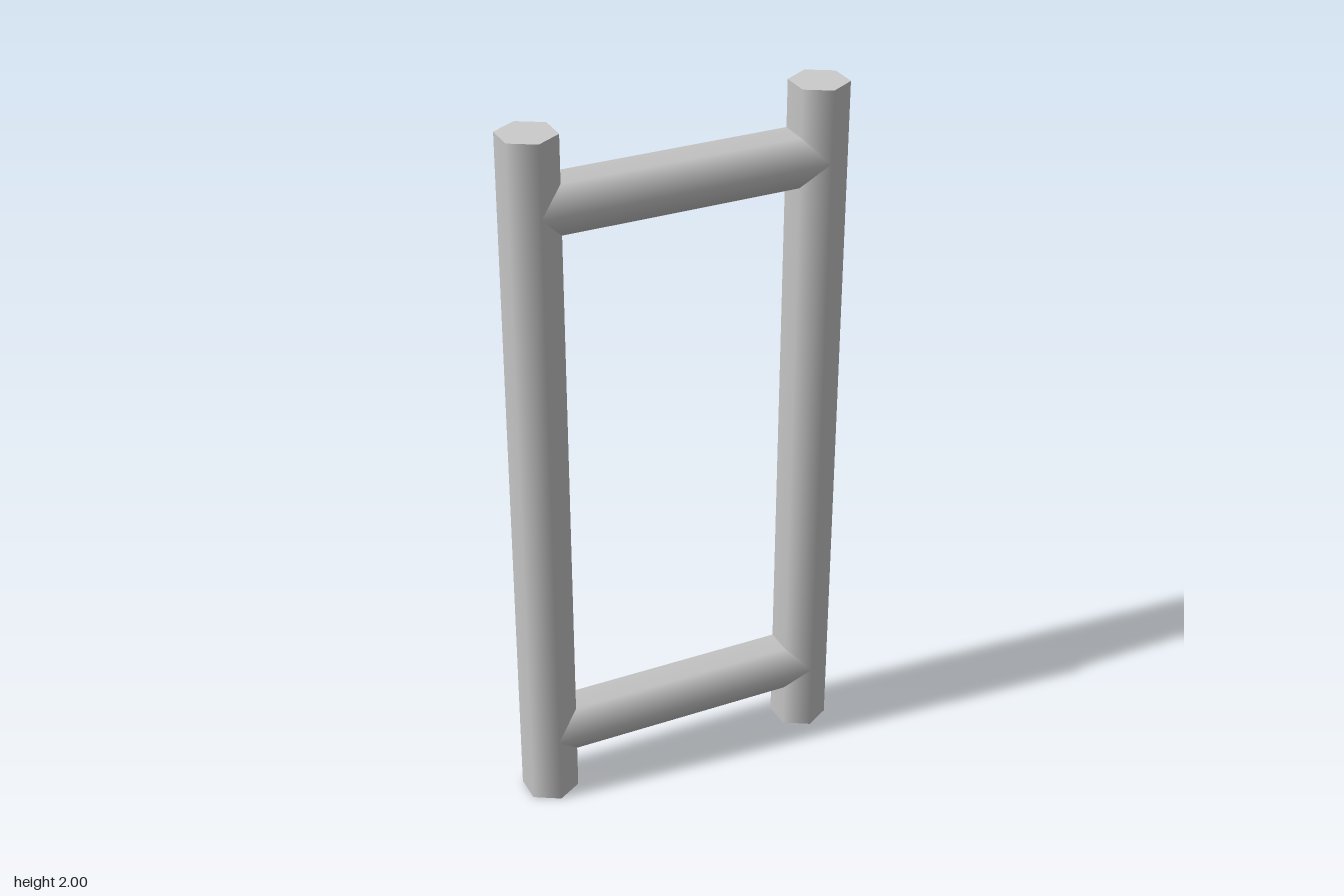
import * as THREE from 'three';

const RADIUS = 0.08;   // hexagonal bar, corners pointing to +z and -z
const HALF_SPAN = 0.4; // distance of each post's axis from the centre

export function createModel() {
  const group = new THREE.Group();
  group.name = 'ladderFrame';
  const material = new THREE.MeshStandardMaterial({ color: 0xcccccc });

  // Smooth-shaded six-sided bar along y
  const bar = (name, length, x, y) => {
    const mesh = new THREE.Mesh(new THREE.CylinderGeometry(RADIUS, RADIUS, length, 6), material);
    mesh.name = name;
    mesh.position.set(x, y, 0);
    group.add(mesh);
    return mesh;
  };

  // Upright posts
  bar('leftPost', 2, HALF_SPAN, 1);
  bar('rightPost', 2, -HALF_SPAN, 1);

  // Rungs running between the post axes
  for (const [name, y] of [['lowerRung', 0.2], ['upperRung', 1.8]]) {
    bar(name, HALF_SPAN * 2, 0, y).rotation.z = Math.PI / 2;
  }

  return group;
}
